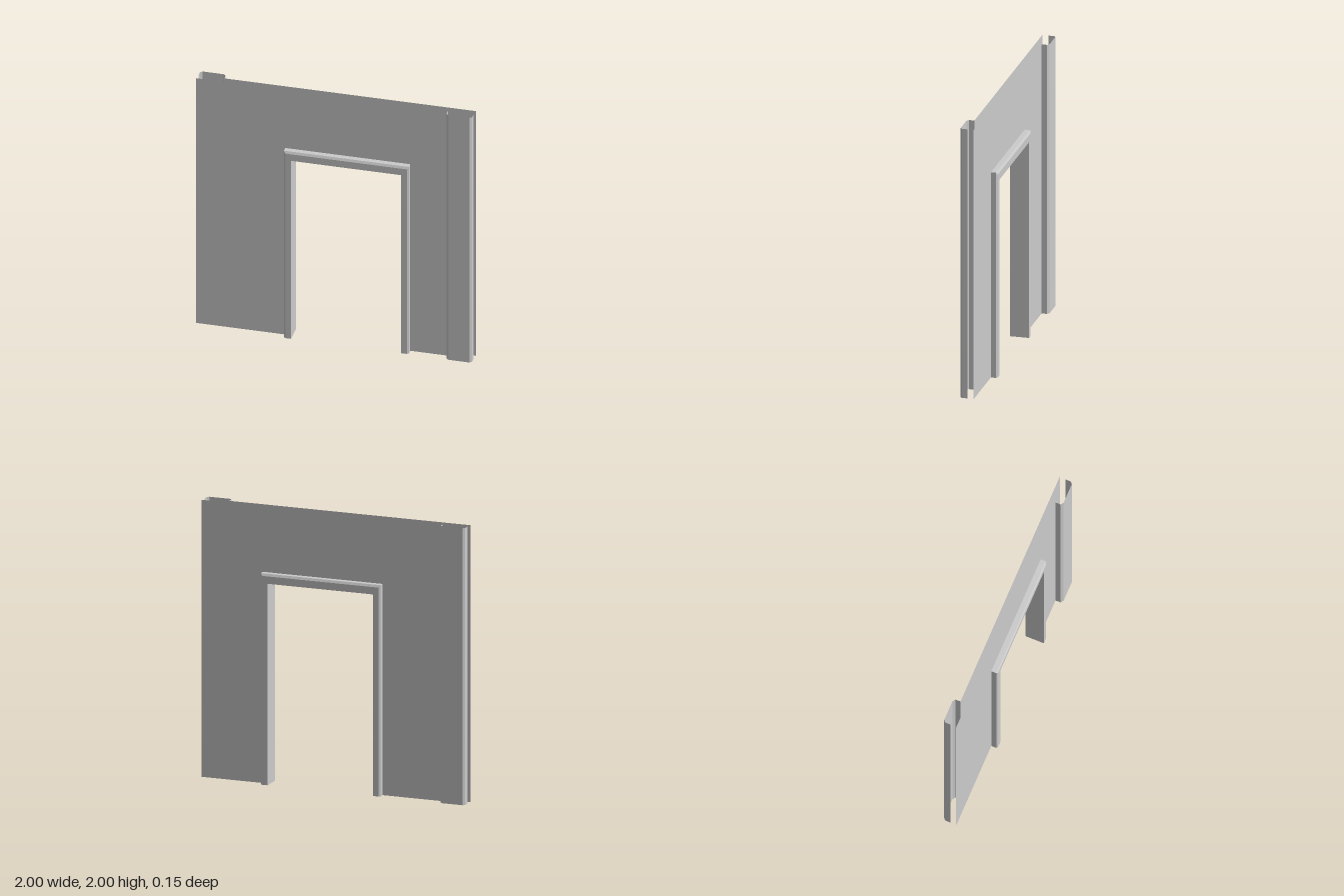
import * as THREE from 'three';

const H = 2;               // wall height
const SHEET = 0.023;       // half distance between the two skins
const FACE = 0.07;         // half depth of the door frame
const DOOR = { x0: -0.305, x1: 0.485, top: 1.455 };
const TRIM = { side: 0.055, top: 0.07 };

const material = new THREE.MeshStandardMaterial({ color: 0xcccccc, side: THREE.DoubleSide });

function mesh(name, geometry) {
  const m = new THREE.Mesh(geometry, material);
  m.name = name;
  return m;
}

// Flat-shaded surface through rows of [x, y, z] points
function loft(rows) {
  const pos = [];
  for (let i = 0; i < rows.length - 1; i++) {
    for (let j = 0; j < rows[i].length - 1; j++) {
      const a = rows[i][j], b = rows[i][j + 1], c = rows[i + 1][j + 1], d = rows[i + 1][j];
      pos.push(...a, ...b, ...c, ...a, ...c, ...d);
    }
  }
  const g = new THREE.BufferGeometry();
  g.setAttribute('position', new THREE.Float32BufferAttribute(pos, 3));
  g.computeVertexNormals();
  return g;
}

// Door outline (up, across, down), grown outward by t times the trim width
function doorPath(x0, x1, t, z) {
  const l = x0 - TRIM.side * t, r = x1 + TRIM.side * t, y = DOOR.top + TRIM.top * t;
  return [[l, 0, z], [l, y, z], [r, y, z], [r, 0, z]];
}

// One face of the wall: flat skin, door trim and raised end panel
function createSide(name, x0, x1) {
  const side = new THREE.Group();
  side.name = name;

  // Skin, notched around the door trim
  const opening = doorPath(x0, x1, 1, 0);
  const outline = [[-1, 0], ...opening, [0.81, 0], [0.81, H], [-1, H]];
  const skin = new THREE.ShapeGeometry(
    new THREE.Shape(outline.map(([x, y]) => new THREE.Vector2(x, y))));
  skin.translate(0, 0, SHEET);
  side.add(mesh('wallSkin', skin));

  // Chamfered trim, mitred at the corners
  const section = [[0, FACE], [0.76, FACE], [1, 0.061], [1, SHEET]];
  side.add(mesh('doorTrim', loft(section.map(([t, z]) => doorPath(x0, x1, t, z)))));

  // Chamfered end panel, open at the top and bottom
  const panel = [[0.81, SHEET], [0.81, 0.062], [0.83, 0.076],
    [0.98, 0.076], [0.995, 0.062], [0.995, SHEET]];
  side.add(mesh('endPanel', loft([0, H].map(y => panel.map(([x, z]) => [x, y, z])))));
  return side;
}

export function createModel() {
  const group = new THREE.Group();
  group.name = 'doorwayWall';

  group.add(createSide('frontSide', DOOR.x0, DOOR.x1));

  // The back is the same side turned around, with the door position mirrored
  const back = createSide('backSide', -DOOR.x1, -DOOR.x0);
  back.rotation.y = Math.PI;
  group.add(back);

  // Lining through the opening
  group.add(mesh('doorLining',
    loft([-FACE, FACE].map(z => doorPath(DOOR.x0, DOOR.x1, 0, z)))));
  return group;
}
